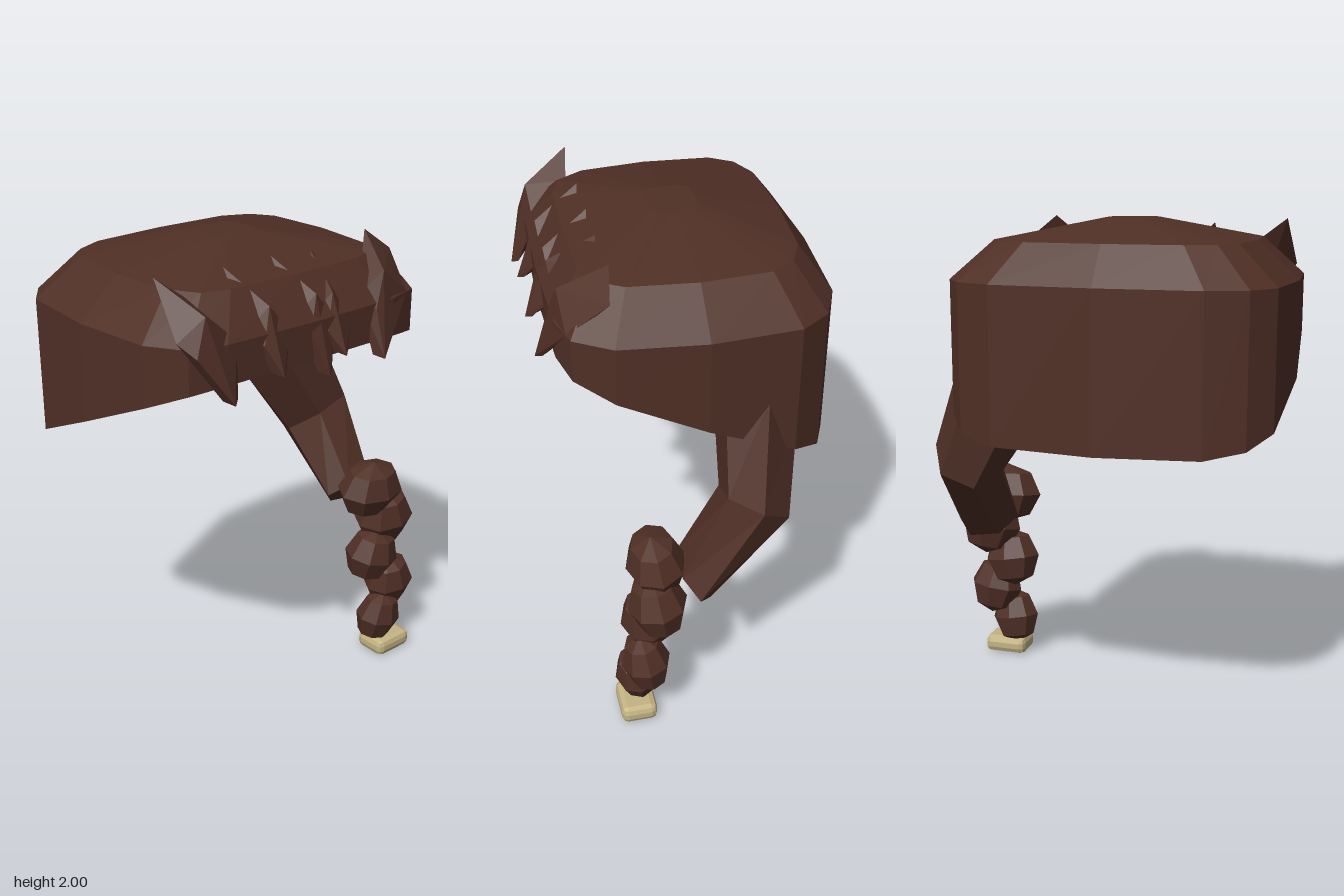
import * as THREE from 'three';
import { ConvexGeometry } from 'three/addons/geometries/ConvexGeometry.js';
import { RoundedBoxGeometry } from 'three/addons/geometries/RoundedBoxGeometry.js';

const V = (x, y, z) => new THREE.Vector3(x, y, z);

// Closed solid through rings of equal length (listed bottom to top, counter-clockwise from above)
function loft(rings) {
  const n = rings[0].length, pos = [];
  const tri = (a, b, c) => pos.push(...a.toArray(), ...b.toArray(), ...c.toArray());
  const mid = (r) => r.reduce((s, p) => s.add(p), V(0, 0, 0)).divideScalar(n);
  const first = rings[0], last = rings[rings.length - 1];
  const c0 = mid(first), c1 = mid(last);
  for (let i = 0; i < n; i++) {
    const j = (i + 1) % n;
    for (let k = 0; k < rings.length - 1; k++) {
      const a = rings[k], b = rings[k + 1];
      tri(a[i], a[j], b[j]);
      tri(a[i], b[j], b[i]);
    }
    tri(c0, first[j], first[i]);
    tri(c1, last[i], last[j]);
  }
  const g = new THREE.BufferGeometry();
  g.setAttribute('position', new THREE.Float32BufferAttribute(pos, 3));
  g.computeVertexNormals();
  return g;
}

export function createModel() {
  const root = new THREE.Group();
  const hair = new THREE.MeshStandardMaterial({ color: 0x4f2f25, flatShading: true });
  hair.name = 'brown hair';
  const band = new THREE.MeshStandardMaterial({ color: 0xc4b484, flatShading: true });
  band.name = 'tan tie';
  const add = (name, geo, mat, parent = root) => {
    const m = new THREE.Mesh(geo, mat);
    m.name = name;
    parent.add(m);
    return m;
  };

  // Cap: rounded box plan, slanted underside, stepped dome
  const half = [[0, 0.5], [0.4, 0.49], [0.54, 0.45], [0.63, 0.31], [0.665, -0.02],
    [0.64, -0.36], [0.56, -0.475], [0.41, -0.54], [0, -0.56]];
  const plan = [...half, ...half.slice(1, -1).reverse().map(([x, z]) => [-x, z])];
  const ring = (sx, sz, y) => plan.map(([x, z]) => V(-0.1 + x * sx, y, -0.02 + (z + 0.02) * sz));
  const bottom = plan.map(([x, z]) => V(-0.1 + x, 1.4 + 0.45 * z, z));
  add('hairCap', loft([bottom, ring(1, 1, 1.77), ring(0.75, 0.79, 1.92), ring(0.15, 0.18, 2)]), hair);

  // Fringe: pointed tufts, [x of tip, width, lift of the crown, y of tip]
  const fringe = new THREE.Group();
  fringe.name = 'fringe';
  root.add(fringe);
  [[-0.52, 1, 0, 1.57], [-0.3, 0.75, -0.02, 1.62], [-0.08, 0.75, -0.02, 1.57],
    [0, 0.75, -0.03, 1.63], [0.2, 1, 0, 1.57]].forEach(([x, w, dy, tip], i) => {
    const lean = i < 3 ? -0.08 : 0.07;
    const s = i === 0 ? -0.06 : i === 4 ? 0.06 : 0;
    const p = (px, y, z) => V(x + px * w + s, y + dy, z);
    add('tuft', new ConvexGeometry([
      p(lean, 1.99, 0.29), p(lean + 0.12, 1.9, 0.31),
      p(-0.1, 1.8, 0.44), p(0.0, 1.88, 0.47), p(0.14, 1.77, 0.46),
      p(-0.06, 1.75, 0.5), p(0.02, 1.72, 0.4),
      V(x - 0.02, tip + 0.01, 0.51), V(x, tip, 0.555), V(x + 0.03, tip + 0.015, 0.53),
    ]), hair, fringe);
  });

  // Gathered lock: bent hexagonal tube, [centre, sideways radius, forward radius]
  const sections = [
    [V(0.565, 0.7, 0.035), V(0.135, -0.02, 0), V(0, 0.07, 0.065)],
    [V(0.55, 1.02, -0.205), V(0.145, 0.05, 0), V(0, 0.08, 0.14)],
    [V(0.35, 1.4, -0.25), V(0.19, 0.09, 0), V(0, 0.06, 0.165)],
  ];
  add('gatheredLock', loft(sections.map(([c, u, v]) => Array.from({ length: 6 }, (_, i) => {
    const a = -i * Math.PI / 3;
    return c.clone().addScaledVector(u, Math.cos(a)).addScaledVector(v, Math.sin(-a) * -1);
  }).map((p, i, all) => all[(6 - i) % 6])
    .reverse())), hair);

  // Braid: alternating knots, [x, y, z, rx, ry, rz]
  const braid = new THREE.Group();
  braid.name = 'braid';
  root.add(braid);
  [[0.54, 0.78, 0.18, 0.16, 0.13, 0.12], [0.62, 0.63, 0.19, 0.14, 0.14, 0.12],
    [0.53, 0.47, 0.215, 0.125, 0.13, 0.11], [0.62, 0.32, 0.24, 0.12, 0.13, 0.1],
    [0.54, 0.17, 0.265, 0.108, 0.125, 0.09]].forEach(([x, y, z, rx, ry, rz], i) => {
    const knot = add('braidKnot', new THREE.SphereGeometry(1, 8, 4), hair, braid);
    knot.scale.set(rx, ry, rz);
    knot.position.set(x, y, z);
    knot.rotation.set(0.15, 0, i === 0 ? 0 : i % 2 ? 0.15 : -0.15);
  });

  // Tie at the end of the braid
  const tie = add('braidTie', new RoundedBoxGeometry(0.19, 0.076, 0.15, 1, 0.026), band);
  tie.position.set(0.575, 0.038, 0.275);

  return root;
}
